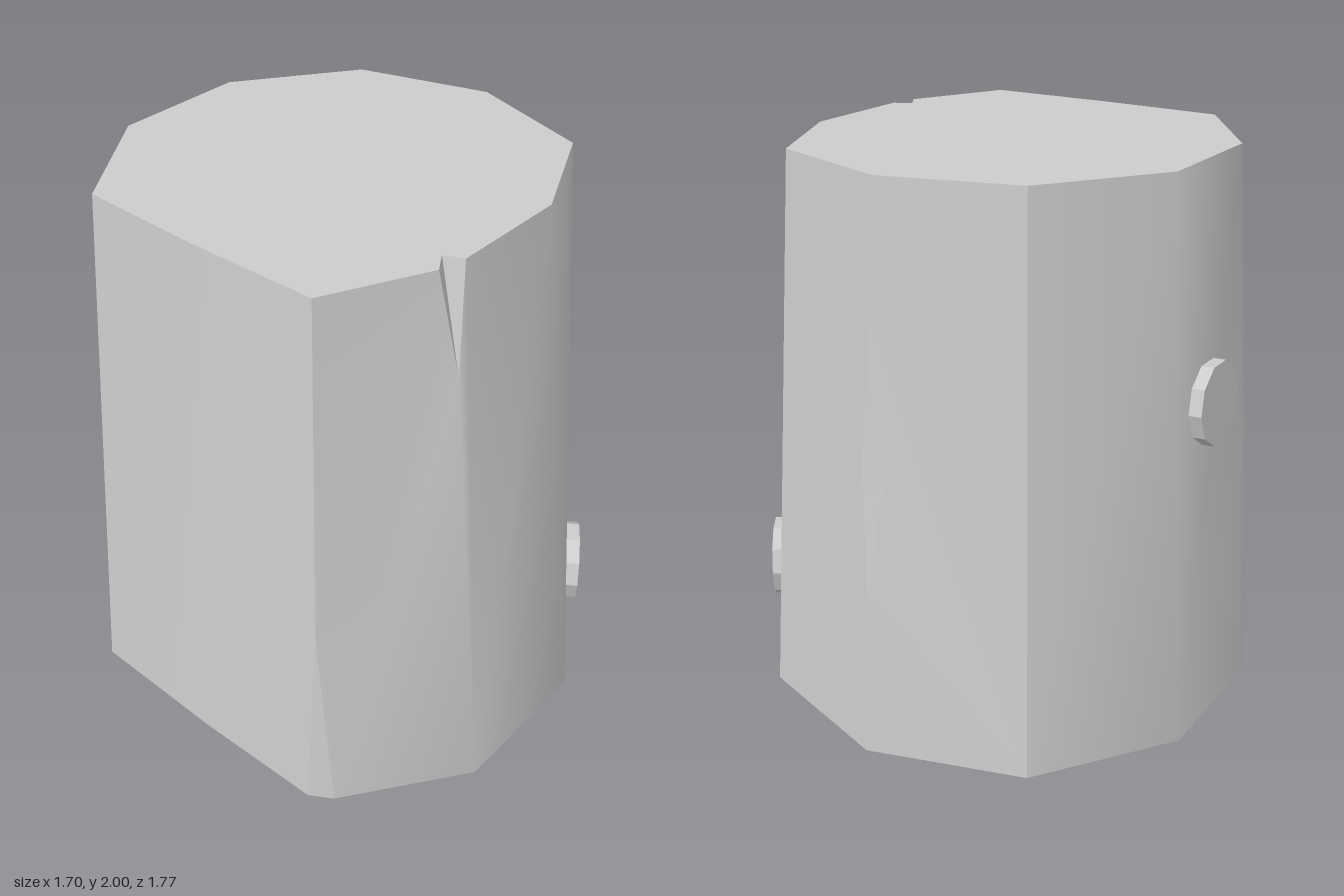
import * as THREE from 'three';
import { mergeVertices } from 'three/addons/utils/BufferGeometryUtils.js';

const grey = () => new THREE.MeshStandardMaterial({ color: 0xcccccc });

// Mesh from convex-ish polygons (fanned from their first corner), smooth or faceted.
function panel(name, polygons, smooth) {
  const pos = [];
  for (const p of polygons) {
    for (let i = 1; i < p.length - 1; i++) pos.push(...p[0], ...p[i], ...p[i + 1]);
  }
  let geo = new THREE.BufferGeometry();
  geo.setAttribute('position', new THREE.Float32BufferAttribute(pos, 3));
  if (smooth) geo = mergeVertices(geo);
  geo.computeVertexNormals();
  const mesh = new THREE.Mesh(geo, grey());
  mesh.name = name;
  return mesh;
}

// Short ten-sided branch stub whose outer face is centred on `tip`.
function knob(name, tip, dir) {
  const length = 0.1;
  const axis = new THREE.Vector3(...dir).normalize();
  const geo = new THREE.CylinderGeometry(0.147, 0.147, length, 10, 1, false, Math.PI / 10);
  const material = grey();
  material.flatShading = true;
  const mesh = new THREE.Mesh(geo, material);
  mesh.name = name;
  mesh.quaternion.setFromUnitVectors(new THREE.Vector3(0, 1, 0), axis);
  mesh.position.set(...tip).addScaledVector(axis, -length / 2);
  return mesh;
}

export function createModel() {
  const group = new THREE.Group();
  group.name = 'log';
  const lo = (x, z) => [x, 0, z];
  const hi = (x, z) => [x, 2, z];

  // Corners at the foot and at the top, going round from the right front
  const nickA = lo(-0.84, 0.5), nickB = lo(-0.79, 0.58), nickTip = [-0.795, 0.75, 0.513];
  const f1 = lo(-0.37, 0.885), f2 = lo(0.2, 0.885), f3 = lo(0.67, 0.55);
  const side = lo(0.845, 0);
  const b3 = lo(0.67, -0.55), b2 = lo(0.2, -0.887);
  const backNickA = lo(-0.32, -0.887), backNickB = lo(-0.41, -0.86), backNickTip = [-0.34, 1, -0.82];
  const b0 = lo(-0.84, -0.55), mid = lo(-0.85, 0);

  const F0 = hi(-0.72, 0.46), F2 = hi(0.16, 0.65), F3 = hi(0.56, 0.46);
  const Side = hi(0.7, 0);
  const B3 = hi(0.56, -0.465), B2 = hi(0.16, -0.75), B1 = hi(-0.32, -0.75), B0 = hi(-0.72, -0.465);
  const Mid = hi(-0.73, 0);

  // Split in the front rim and chip in the left edge
  const splitL = hi(-0.37, 0.63), splitIn = hi(-0.3, 0.585), splitR = hi(-0.27, 0.65);
  const splitTip = [-0.33, 1.63, 0.69];
  const chipTop = [0.73, 1.57, 0], chipLow = [0.803, 0.6, 0];
  const chipFront = [0.755, 1.05, 0.04], chipBack = [0.747, 1.1, -0.06];

  group.add(
    panel('frontBark', [
      [nickB, f1, splitTip, splitL, F0, nickTip],
      [f1, f2, F2, splitR, splitTip],
      [f2, f3, F3, F2],
    ], true),
    panel('frontNick', [[nickA, nickB, nickTip]], false),
    panel('leftBark', [
      [f3, side, chipLow, chipFront, chipTop, Side, F3],
      [b3, B3, Side, chipTop, chipBack, chipLow, side],
    ], false),
    panel('edgeChip', [
      [chipTop, chipFront, chipBack],
      [chipLow, chipBack, chipFront],
    ], true),
    panel('backBark', [
      [b3, b2, B2, B3],
      [b2, backNickA, backNickTip, B1, B2],
      [backNickA, backNickB, backNickTip],
      [backNickB, b0, B0, B1, backNickTip],
    ], true),
    panel('rightBark', [
      [mid, nickA, nickTip, F0, Mid],
      [b0, mid, Mid, B0],
    ], true),
    panel('rimSplit', [
      [splitTip, splitIn, splitL],
      [splitTip, splitR, splitIn],
    ], false),
  );

  // Flat end faces, fanned from the middle
  const topRing = [F0, splitL, splitIn, splitR, F2, F3, Side, B3, B2, B1, B0, Mid, F0];
  const footRing = [nickA, nickB, f1, f2, f3, side, b3, b2, backNickA, backNickB, b0, mid, nickA];
  group.add(
    panel('topFace', [[hi(0, 0), ...topRing]], false),
    panel('bottomFace', [[lo(0, 0), ...footRing.reverse()]], false),
  );

  // Branch stubs
  group.add(
    knob('frontKnob', [0.452, 0.37, 0.728], [0.58, 0, 0.81]),
    knob('backKnob', [-0.045, 1.19, -0.852], [0, 0.07, -1]),
  );
  return group;
}
